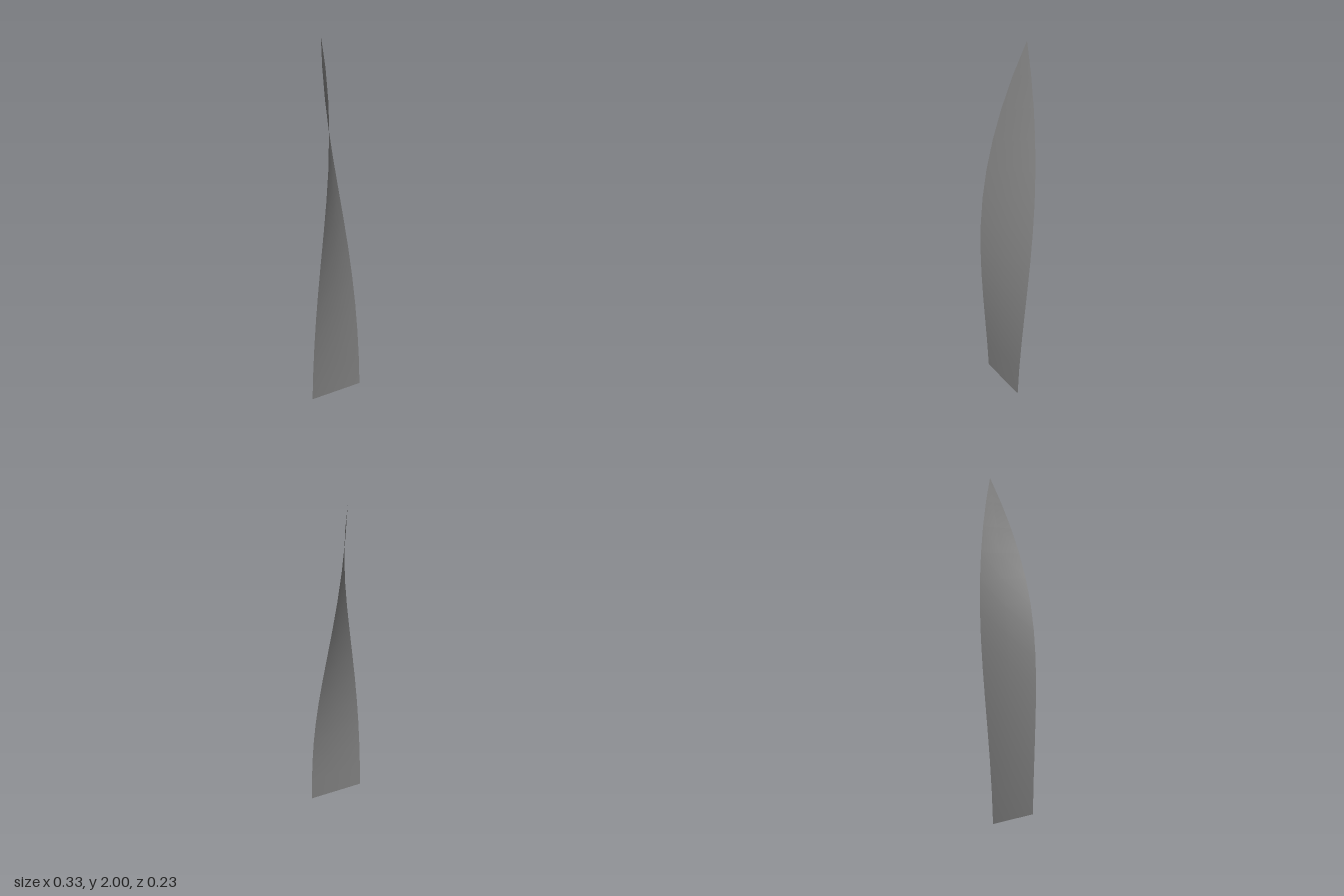
import * as THREE from 'three';

const HEIGHT = 2, HALF_WIDTH = 0.166, TWIST = 1.23, SEGMENTS = 12;

// Flat strip reshaped into a tapering, twisted blade that leans backwards
function bladeGeometry() {
  const geometry = new THREE.PlaneGeometry(2, 1, 2, SEGMENTS);
  const pos = geometry.attributes.position;
  for (let i = 0; i < pos.count; i++) {
    const side = pos.getX(i);
    const t = THREE.MathUtils.clamp(pos.getY(i) + 0.5, 0, 1);
    const w = side * HALF_WIDTH * (1 - Math.pow(t, 3.8));
    // The twist eases in at the root and out at the tip
    const angle = TWIST * THREE.MathUtils.lerp(t, THREE.MathUtils.smoothstep(t, 0, 1), 0.6);
    const lean = 0.055 - 0.152 * Math.pow(t, 2.4);
    pos.setXYZ(i, w * Math.cos(angle), HEIGHT * t, lean - w * Math.sin(angle));
  }
  geometry.computeVertexNormals();
  return geometry;
}

export function createModel() {
  const group = new THREE.Group();
  group.name = 'grassBlade';
  const material = new THREE.MeshStandardMaterial({ color: 0x808080, side: THREE.DoubleSide });
  const blade = new THREE.Mesh(bladeGeometry(), material);
  blade.name = 'blade';
  group.add(blade);
  return group;
}
